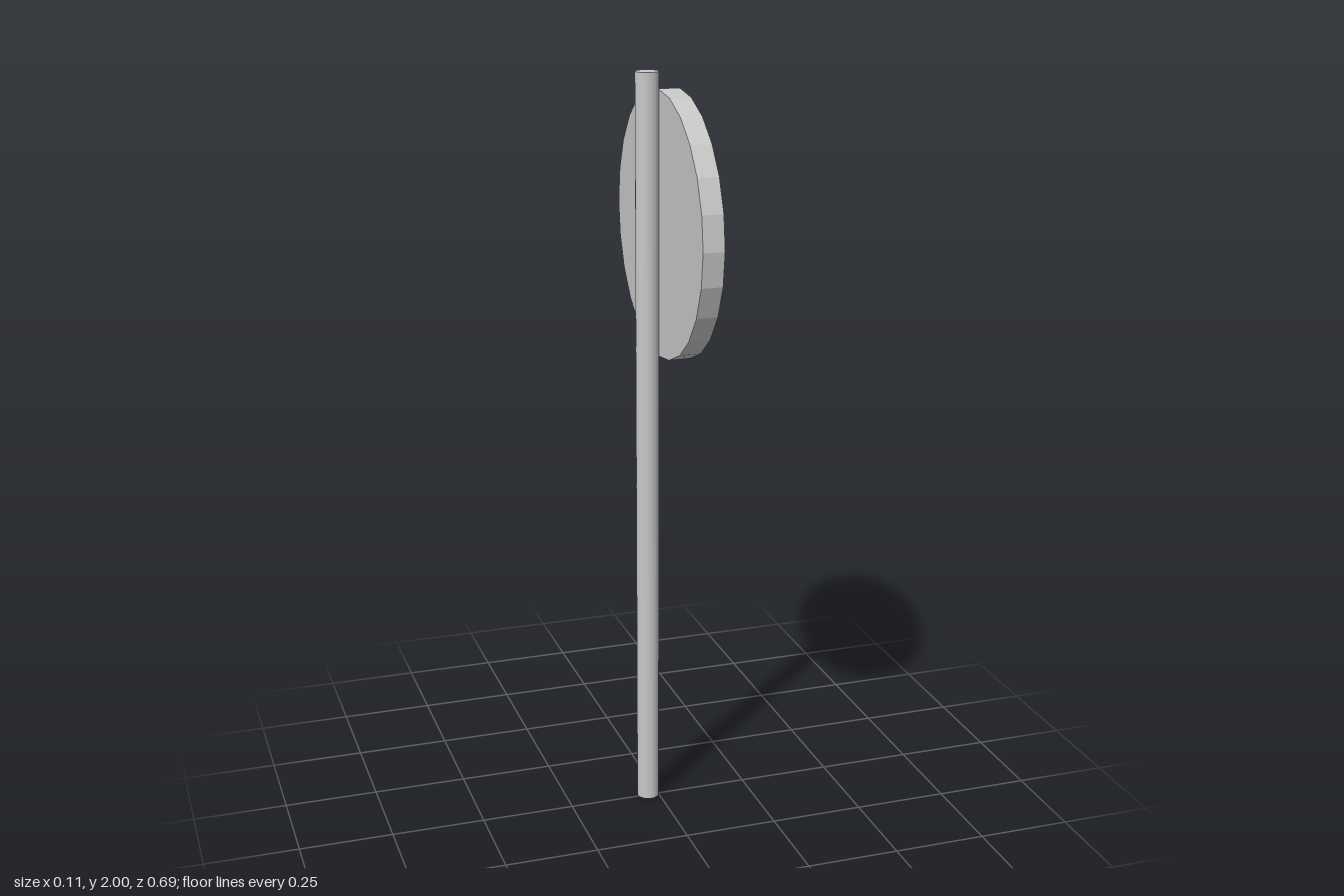
import * as THREE from 'three';

export function createModel() {
  const group = new THREE.Group();
  const grey = new THREE.MeshStandardMaterial({ color: 0xc8c8c8, flatShading: true });
  grey.name = 'light grey';

  const addCylinder = (name, radius, length, x, y, z) => {
    const mesh = new THREE.Mesh(new THREE.CylinderGeometry(radius, radius, length, 24), grey);
    mesh.name = name;
    mesh.position.set(x, y, z);
    group.add(mesh);
    return mesh;
  };

  // Upright post, standing just behind the disc's centre line
  addCylinder('post', 0.03, 2, -0.028, 1, -0.006);

  // Round sign plate, its face turned to the side
  const plate = addCylinder('signPlate', 0.344, 0.056, 0.028, 1.612, 0);
  plate.rotation.z = -Math.PI / 2;

  return group;
}
